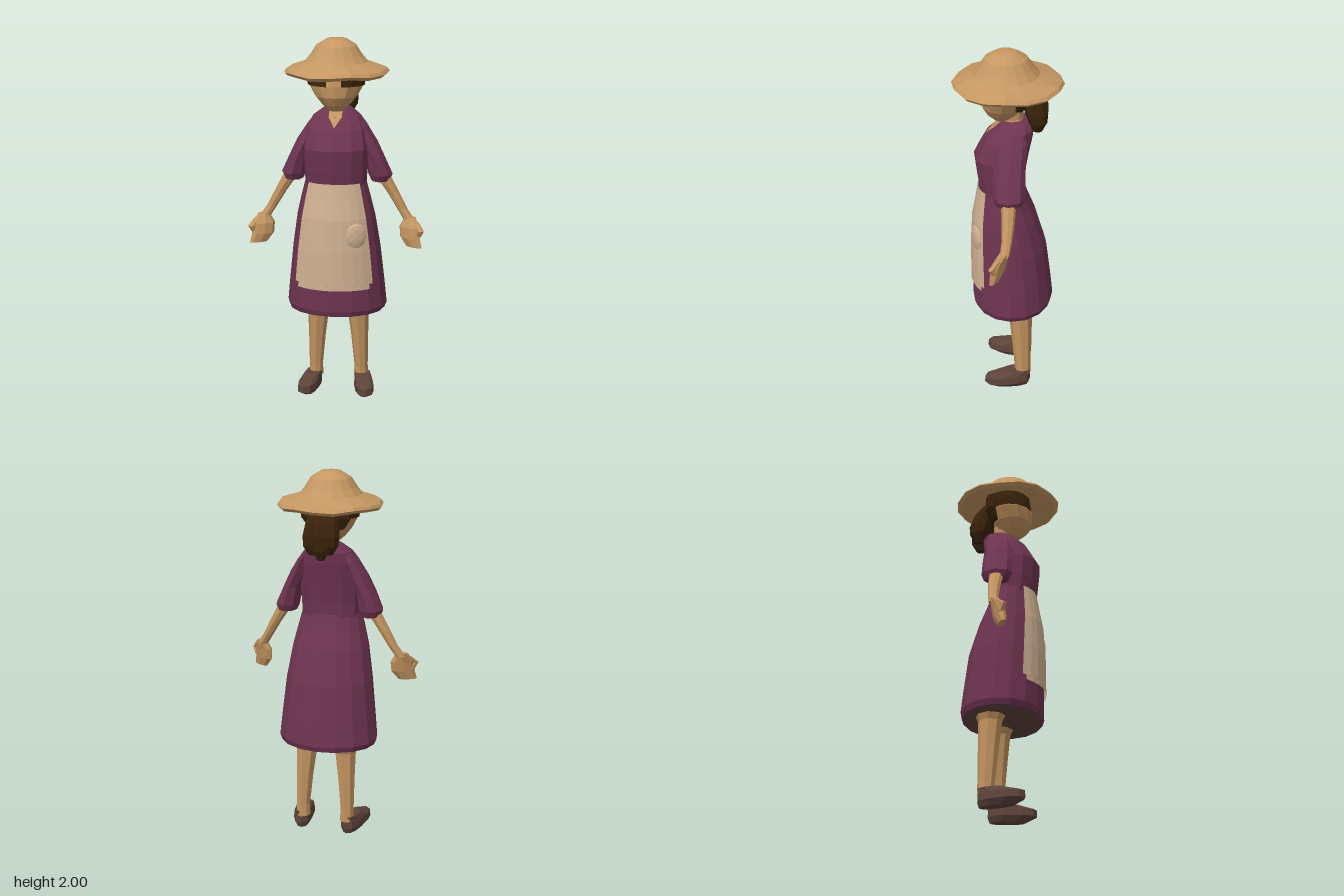
import * as THREE from 'three';

const mat = (name, color) => {
  const m = new THREE.MeshStandardMaterial({ color });
  m.name = name;
  return m;
};

// Give every facet its own normal
function faceted(geometry) {
  const g = geometry.index ? geometry.toNonIndexed() : geometry;
  g.computeVertexNormals();
  return g;
}

// Skin through horizontal rings [x, y, z, rx, rz, turn], listed from low to high.
// from/to limit the sweep (0 = front); a full sweep is capped at both ends.
function loft(rings, n = 10, { from = 0, to = Math.PI * 2, power = 1 } = {}) {
  const pos = [], idx = [], closed = to - from > 6.28;
  const bend = v => Math.sign(v) * Math.abs(v) ** power;
  for (const [cx, cy, cz, rx, rz, turn = 0] of rings) {
    for (let j = 0; j <= n; j++) {
      const t = from + (to - from) * j / n;
      const x = rx * bend(Math.sin(t)), z = rz * bend(Math.cos(t));
      const c = Math.cos(turn), s = Math.sin(turn);
      pos.push(cx + x * c - z * s, cy, cz + x * s + z * c);
    }
  }
  const w = n + 1;
  for (let i = 0; i < rings.length - 1; i++) {
    for (let j = 0; j < n; j++) {
      const a = i * w + j;
      idx.push(a, a + 1, a + w, a + 1, a + w + 1, a + w);
    }
  }
  if (closed) {
    const top = (rings.length - 1) * w;
    for (let j = 1; j < n - 1; j++) {
      idx.push(0, j + 1, j, top, top + j, top + j + 1);
    }
  }
  const g = new THREE.BufferGeometry();
  g.setAttribute('position', new THREE.Float32BufferAttribute(pos, 3));
  g.setIndex(idx);
  return faceted(g);
}

// Ring from half width and front/back depth
const span = (y, rx, front, back) => [0, y, (front + back) / 2, rx, (front - back) / 2];

export function createModel() {
  const model = new THREE.Group();
  const skin = mat('skin', 0xc39460);
  const straw = mat('straw', 0xc59762);
  const plum = mat('plum cloth', 0x6e3450);
  const cream = mat('apron cloth', 0xd0b192);
  cream.side = THREE.DoubleSide;
  const brown = mat('shoe leather', 0x5e443b);
  const dark = mat('hair', 0x3a230a);

  const add = (name, geometry, material, parent = model) => {
    const mesh = new THREE.Mesh(geometry, material);
    mesh.name = name;
    parent.add(mesh);
    return mesh;
  };

  // Dress
  const skirt = [
    span(0.51, 0.262, 0.185, -0.24), span(0.54, 0.275, 0.195, -0.25),
    span(0.66, 0.263, 0.195, -0.237), span(0.87, 0.24, 0.195, -0.21),
    span(1.05, 0.212, 0.185, -0.155), span(1.16, 0.186, 0.165, -0.11),
    span(1.24, 0.165, 0.152, -0.085),
  ];
  add('skirt', loft(skirt, 16), plum);
  add('skirtUnderside', loft([span(0.502, 0.225, 0.155, -0.205), span(0.511, 0.25, 0.175, -0.225)], 16), brown);
  add('bodice', loft([
    span(1.22, 0.165, 0.152, -0.085), span(1.3, 0.17, 0.165, -0.09),
    span(1.42, 0.175, 0.18, -0.11), span(1.52, 0.16, 0.125, -0.13),
    span(1.58, 0.13, 0.065, -0.137), span(1.62, 0.075, 0.025, -0.125),
  ], 12, { power: 0.85 }), plum);

  // Apron follows the front of the skirt, with rounded lower corners
  const apronPart = (name, rings, half) => add(name, loft(
    rings.map(([x, y, z, rx, rz]) => [x, y, z, rx + 0.009, rz + 0.009]), 8,
    { from: -half, to: half }), cream);
  const hem = span(0.69, 0.26, 0.195, -0.234);
  apronPart('apron', [hem, ...skirt.slice(3)], 0.9);
  apronPart('apronHem', [span(0.662, 0.263, 0.195, -0.237), hem], 0.8);
  const fold = add('apronFold', faceted(new THREE.IcosahedronGeometry(1, 1)), cream);
  fold.scale.set(0.06, 0.075, 0.02);
  fold.position.set(0.12, 0.96, 0.163);
  fold.rotation.y = 0.45;

  // Neck and open neckline
  add('neck', loft([[0, 1.56, -0.03, 0.06, 0.065], [0, 1.63, -0.02, 0.05, 0.06],
    [0, 1.72, -0.01, 0.06, 0.07]], 8), skin);
  const neckline = new THREE.BufferGeometry();
  neckline.setAttribute('position', new THREE.Float32BufferAttribute([
    0, 1.535, 0.119, 0.035, 1.585, 0.068, 0, 1.585, 0.069,
    0, 1.535, 0.119, 0, 1.585, 0.069, -0.035, 1.585, 0.068,
    -0.035, 1.585, 0.068, 0.035, 1.585, 0.068, 0.035, 1.625, 0.028,
    -0.035, 1.585, 0.068, 0.035, 1.625, 0.028, -0.035, 1.625, 0.028], 3));
  add('neckline', faceted(neckline), skin);

  // Head, hair band and gathered hair behind
  const headTop = [span(1.755, 0.146, 0.142, -0.1), span(1.8, 0.153, 0.135, -0.11), span(1.86, 0.145, 0.125, -0.11)];
  add('head', loft([
    span(1.615, 0.035, 0.07, -0.01), span(1.65, 0.075, 0.11, -0.05),
    span(1.695, 0.112, 0.138, -0.08), ...headTop,
  ], 12), skin);
  const grow = ([x, y, z, rx, rz]) => [x, y, z, rx + 0.006, rz + 0.006];
  add('hairBand', loft(headTop.map(grow), 14, { from: 0.26, to: Math.PI * 2 - 0.26 }), dark);
  add('backHair', loft([span(1.7, 0.1, -0.02, -0.1), span(1.76, 0.14, -0.02, -0.125),
    span(1.85, 0.14, -0.02, -0.12)], 10), dark);
  for (const [x, low] of [[-0.055, 1.58], [0, 1.55], [0.055, 1.575]]) {
    add('hairLock', loft([
      [x * 0.8, low, -0.155, 0.022, 0.025], [x, low + 0.05, -0.158, 0.042, 0.048],
      [x, 1.68, -0.15, 0.045, 0.06], [x * 0.9, 1.75, -0.13, 0.04, 0.055],
      [x * 0.7, 1.81, -0.1, 0.03, 0.04],
    ], 8), dark);
  }

  // Wide straw hat with a gently uneven brim
  const profile = [[0, 1.85], [0.15, 1.845], [0.275, 1.805], [0.292, 1.822], [0.28, 1.838],
    [0.175, 1.875], [0.145, 1.91], [0.112, 1.96], [0.055, 1.994], [0, 2]];
  const hat = new THREE.LatheGeometry(profile.map(p => new THREE.Vector2(...p)), 16);
  const hp = hat.attributes.position;
  for (let i = 0; i < hp.count; i++) {
    const x = hp.getX(i), z = hp.getZ(i), r = Math.hypot(x, z);
    if (r > 0.2) hp.setY(i, hp.getY(i) + 0.006 * Math.sin(5 * Math.atan2(x, z)));
    hp.setX(i, x * 0.96);
    hp.setZ(i, z + (r > 0.05 && r < 0.2 ? 0.01 : 0));
  }
  add('hat', faceted(hat), straw);

  // Limbs, mirrored
  for (const s of [1, -1]) {
    const side = s > 0 ? 'left' : 'right';
    const limb = (name, rings, material, n = 8, opts) => add(side + name, loft(
      rings.map(([x, y, z, rx, rz, turn = 0]) => [x * s, y, z, rx, rz, turn * s]), n, opts), material);

    limb('Sleeve', [
      [0.235, 1.235, -0.015, 0.05, 0.07], [0.235, 1.27, -0.015, 0.066, 0.085],
      [0.205, 1.37, -0.015, 0.05, 0.085], [0.165, 1.45, -0.02, 0.052, 0.08],
      [0.13, 1.53, -0.03, 0.035, 0.075], [0.105, 1.575, -0.04, 0.025, 0.05],
    ], plum);
    limb('Forearm', [
      [0.395, 1.02, 0.0, 0.03, 0.026], [0.355, 1.08, -0.01, 0.028, 0.028],
      [0.31, 1.16, -0.015, 0.032, 0.034], [0.255, 1.25, -0.015, 0.04, 0.04],
    ], skin);
    limb('Hand', [
      [0.425, 0.882, 0.05, 0.05, 0.018, 0.5], [0.402, 0.93, 0.035, 0.064, 0.028, 0.5],
      [0.4, 0.985, 0.025, 0.065, 0.03, 0.5], [0.402, 1.035, 0.005, 0.032, 0.024, 0.4],
    ], skin);
    limb('Thumb', [
      [0.445, 0.94, 0.05, 0.018, 0.016, 0.5], [0.458, 0.975, 0.065, 0.022, 0.016, 0.5],
      [0.43, 1.015, 0.025, 0.018, 0.014, 0.5],
    ], skin, 6);
    limb('Leg', [
      [0.128, 0.07, -0.09, 0.04, 0.045], [0.128, 0.14, -0.088, 0.038, 0.046],
      [0.12, 0.32, -0.08, 0.048, 0.055], [0.112, 0.47, -0.072, 0.06, 0.064],
      [0.108, 0.515, -0.07, 0.085, 0.085],
    ], skin);
    limb('Shoe', [
      [0.148, 0, -0.03, 0.034, 0.095, -0.18], [0.153, 0.03, -0.005, 0.054, 0.13, -0.18],
      [0.153, 0.068, -0.005, 0.052, 0.128, -0.18], [0.14, 0.098, -0.06, 0.043, 0.073, -0.18],
    ], brown, 10, { power: 0.8 });
  }
  return model;
}
